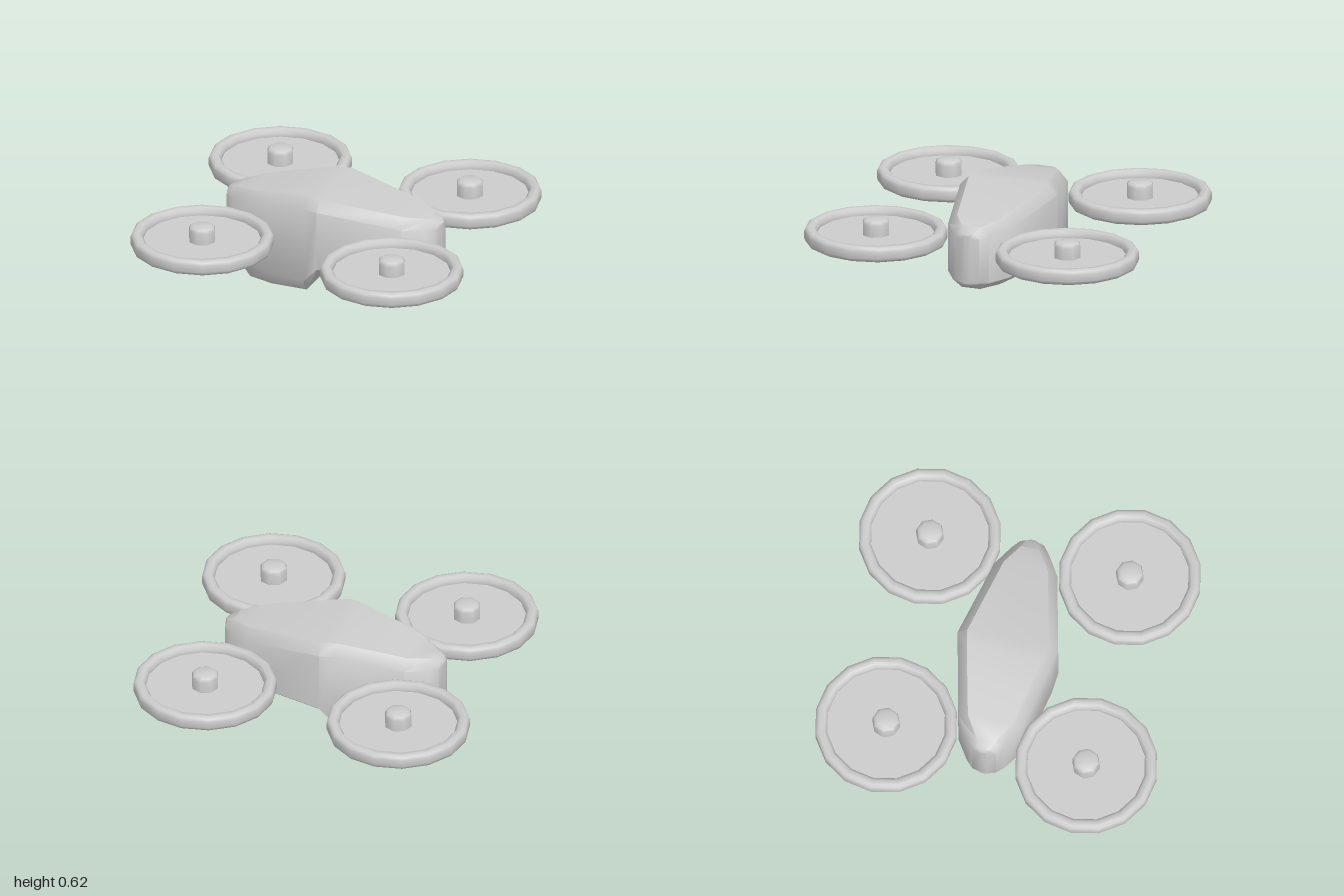
import * as THREE from 'three';
import { toCreasedNormals } from 'three/addons/utils/BufferGeometryUtils.js';

const material = new THREE.MeshStandardMaterial({ color: 0xcccccc, side: THREE.DoubleSide });

// Hull stations: x, half width, bottom y, top y, bottom bevel height, top bevel height
const stations = [
  [-0.665, 0.02, 0.145, 0.49, 0.01, 0.02],
  [-0.65, 0.07, 0.135, 0.505, 0.02, 0.03],
  [-0.6, 0.11, 0.095, 0.525, 0.03, 0.05],
  [-0.48, 0.185, 0.01, 0.55, 0.09, 0.06],
  [-0.33, 0.222, 0.005, 0.58, 0.09, 0.06],
  [-0.09, 0.275, 0.03, 0.62, 0.07, 0.06],
  [0, 0.295, 0.155, 0.62, 0.045, 0.06],
  [0.48, 0.185, 0.155, 0.545, 0.045, 0.06],
  [0.6, 0.11, 0.155, 0.525, 0.04, 0.05],
  [0.65, 0.07, 0.185, 0.5, 0.02, 0.03],
  [0.665, 0.02, 0.195, 0.49, 0.01, 0.02],
];

// Skin bevelled eight-sided sections along x
function hullGeometry() {
  const pos = [], index = [], n = 8;
  for (const [x, w, lo, hi, cLo, cHi] of stations) {
    const inner = w - Math.min(0.055, w * 0.5);
    const loop = [
      [w, lo + cLo], [w, hi - cHi], [inner, hi], [-inner, hi],
      [-w, hi - cHi], [-w, lo + cLo], [-inner, lo], [inner, lo],
    ];
    for (const [z, y] of loop) pos.push(x, y, z);
  }
  const last = (stations.length - 1) * n;
  for (let i = 0; i < last; i += n) {
    for (let k = 0; k < n; k++) {
      const a = i + k, d = i + (k + 1) % n;
      index.push(a, a + n, d + n, a, d + n, d);
    }
  }
  // End caps
  for (let k = 1; k < n - 1; k++) {
    index.push(0, k, k + 1, last, last + k + 1, last + k);
  }
  const g = new THREE.BufferGeometry();
  g.setAttribute('position', new THREE.Float32BufferAttribute(pos, 3));
  g.setIndex(index);
  return toCreasedNormals(g, 0.75);
}

const lathe = (points, sides) => toCreasedNormals(
  new THREE.LatheGeometry(points.map(([r, y]) => new THREE.Vector2(r, y)), sides), 0.85);

function part(name, geometry, parent) {
  const mesh = new THREE.Mesh(geometry, material);
  mesh.name = name;
  parent.add(mesh);
  return mesh;
}

export function createModel() {
  const model = new THREE.Group();
  model.name = 'quadcopter';
  part('body', hullGeometry(), model);

  // Rotor profiles, centred on the disc plane
  const ring = lathe([
    [0.342, -0.025], [0.36, -0.045], [0.39, -0.045], [0.406, -0.036], [0.412, -0.02],
    [0.412, 0.02], [0.406, 0.036], [0.39, 0.045], [0.36, 0.045], [0.342, 0.025], [0.342, -0.025],
  ], 16);
  const disc = new THREE.CircleGeometry(0.35, 16).rotateX(-Math.PI / 2);
  const hub = lathe([
    [0, -0.14], [0.055, -0.14], [0.074, -0.132], [0.08, -0.112],
    [0.08, 0.067], [0.074, 0.085], [0.055, 0.095], [0, 0.095],
  ], 8);

  // Four rotors, one at each corner
  for (const sx of [-1, 1]) {
    for (const sz of [-1, 1]) {
      const rotor = new THREE.Group();
      rotor.name = (sz > 0 ? 'front' : 'back') + (sx > 0 ? 'Left' : 'Right') + 'Rotor';
      part('rotorRing', ring, rotor);
      part('rotorDisc', disc, rotor);
      part('rotorHub', hub, rotor);
      rotor.position.set(sx * 0.588, 0.41, sz * 0.587);
      model.add(rotor);
    }
  }
  return model;
}
